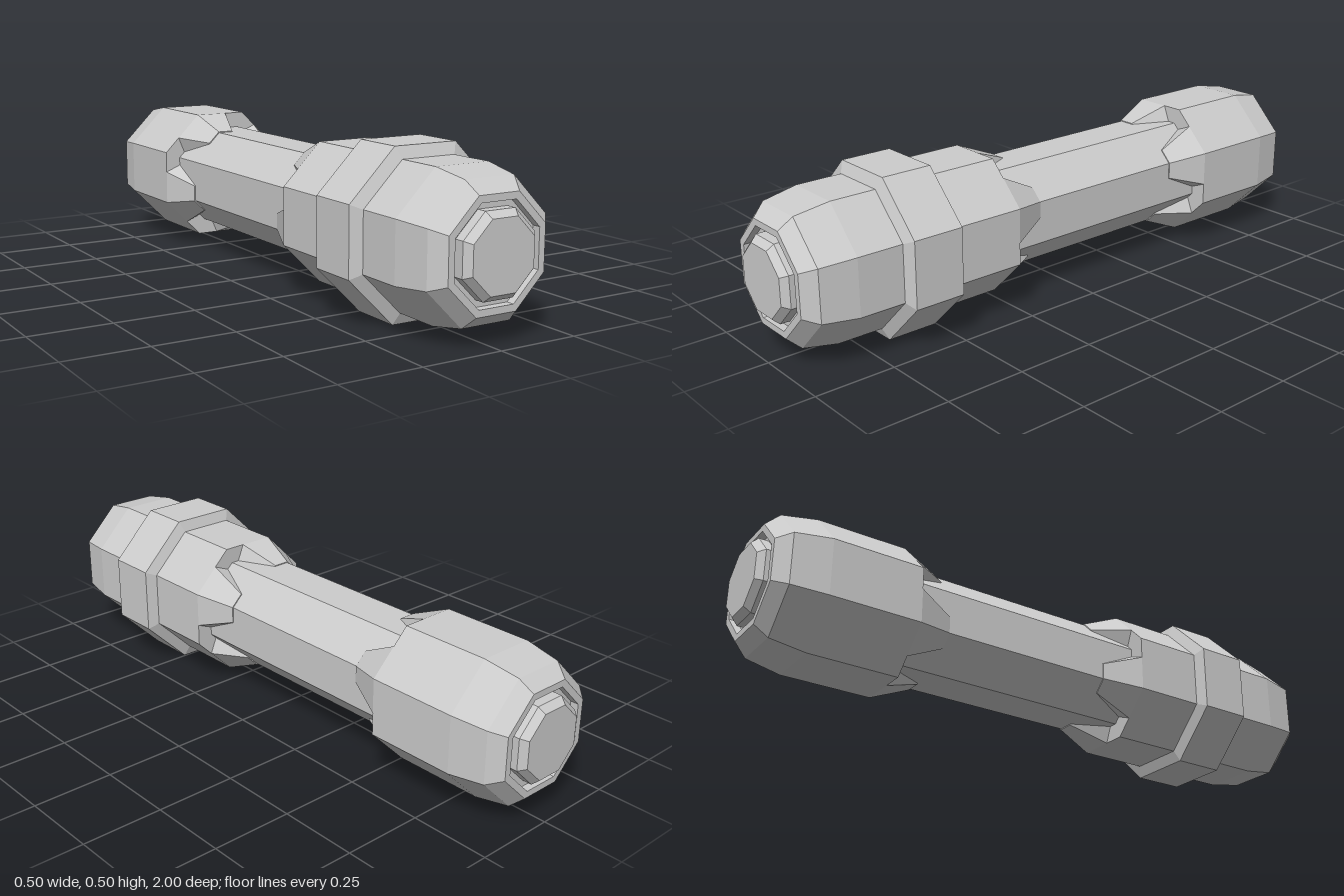
import * as THREE from 'three';

const AXIS_Y = 0.248;
const K = 1 / Math.cos(Math.PI / 8); // flat distance -> corner radius of an octagon
const material = new THREE.MeshStandardMaterial({ color: 0xcccccc, flatShading: true });

function mesh(name, geometry) {
  const m = new THREE.Mesh(geometry, material);
  m.name = name;
  return m;
}

// Octagonal turning along z from [flat distance, z] pairs, with z rising
function turned(name, profile) {
  const points = profile.map(([a, z]) => new THREE.Vector2(a * K, z));
  const geometry = new THREE.LatheGeometry(points, 8, Math.PI / 8, Math.PI * 2);
  geometry.rotateX(Math.PI / 2);
  return mesh(name, geometry);
}

// Chevron section wrapped over the octagon corner that points to +y
function chevron(outer, inner, reach, z) {
  const arm = (a, side) => [
    side * reach * Math.cos(Math.PI / 8),
    a * K - Math.abs(side) * reach * Math.sin(Math.PI / 8), z];
  return [arm(outer, 1), arm(outer, 0), arm(outer, -1), arm(inner, -1), arm(inner, 0), arm(inner, 1)];
}

// Tapered finger that runs from the shoulder down to the shaft
function fingerGeometry(shoulder) {
  const tip = chevron(0.165, 0.15, 0.052, shoulder - 0.12);
  const base = chevron(0.213, 0.15, 0.108, shoulder);
  const out = [];
  const quad = (a, b, c, d) => out.push(...a, ...b, ...c, ...a, ...c, ...d);
  for (let i = 0; i < 6; i++) {
    const j = (i + 1) % 6;
    quad(tip[i], tip[j], base[j], base[i]);
  }
  quad(tip[5], tip[4], tip[1], tip[0]);
  quad(tip[4], tip[3], tip[2], tip[1]);
  const geometry = new THREE.BufferGeometry();
  geometry.setAttribute('position', new THREE.Float32BufferAttribute(out, 3));
  geometry.computeVertexNormals();
  return geometry;
}

// End head facing +z: rounded body, recessed end plug and four fingers
function createHead(name, shoulder, turn) {
  const head = new THREE.Group();
  head.name = name;
  head.add(turned('headBody', [
    [0.15, shoulder], [0.213, shoulder], [0.213, 0.825], [0.194, 0.935],
    [0.158, 0.975], [0.138, 0.975], [0.138, 0.95], [0.1, 0.95],
  ]));
  head.add(turned('endPlug', [[0.118, 0.94], [0.118, 0.98], [0.1, 1], [0, 1]]));
  const geometry = fingerGeometry(shoulder);
  for (let i = 0; i < 4; i++) {
    const finger = mesh('finger', geometry);
    finger.rotation.z = turn + i * Math.PI / 2;
    head.add(finger);
  }
  return head;
}

export function createModel() {
  const model = new THREE.Group();
  model.name = 'handle';
  const body = new THREE.Group();
  body.name = 'body';
  body.position.y = AXIS_Y;
  model.add(body);

  // Shaft
  body.add(turned('shaft', [[0.162, -0.6], [0.162, 0.35]]));

  // Heads at both ends
  body.add(createHead('frontHead', 0.265, Math.PI / 8));
  const back = createHead('backHead', 0.54, -Math.PI / 8);
  back.rotation.y = Math.PI;
  body.add(back);

  // Raised ring around the front head
  body.add(turned('ring', [[0.2, 0.49], [0.213, 0.49], [0.248, 0.503], [0.248, 0.665], [0.213, 0.68], [0.2, 0.68]]));
  return model;
}
